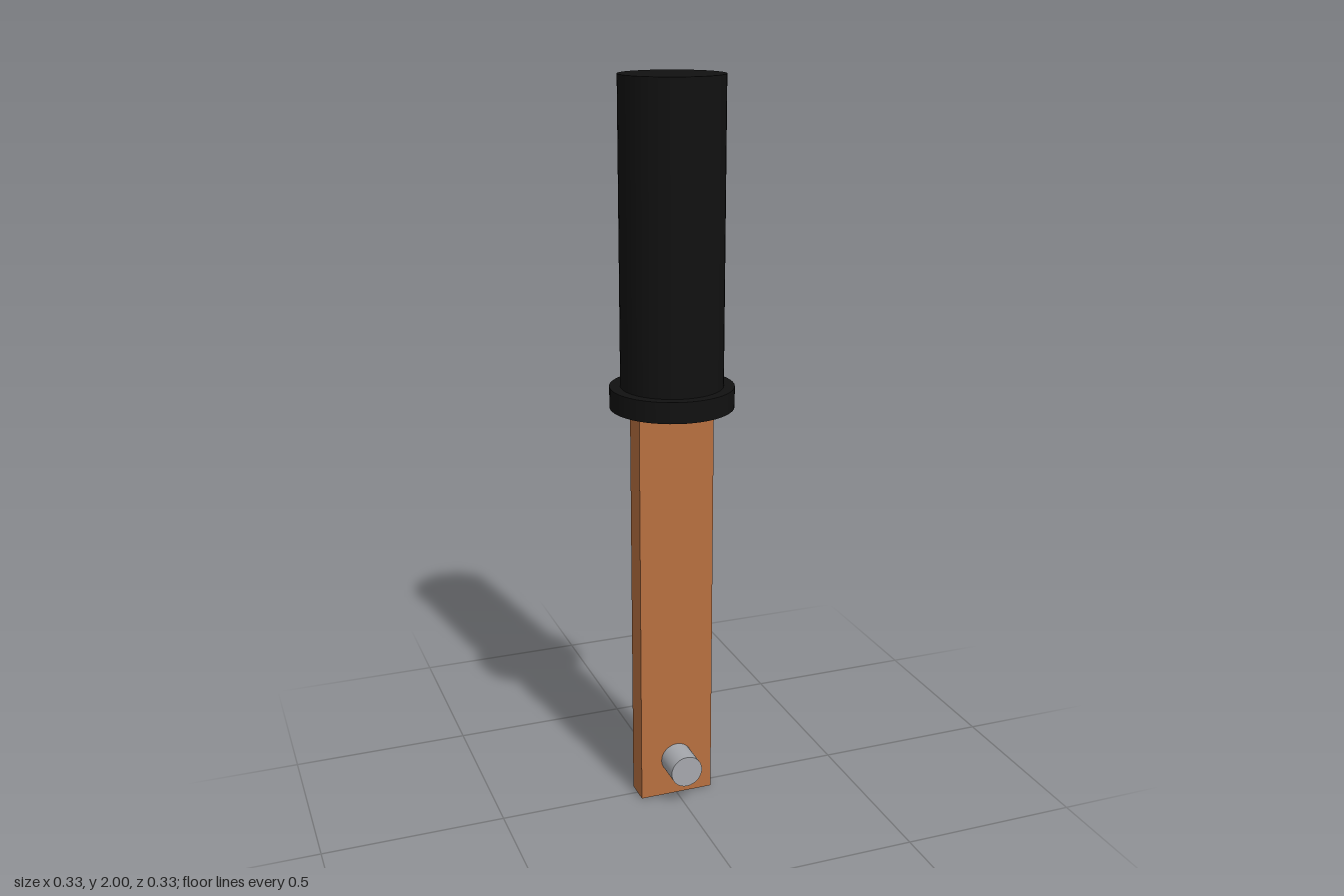
import * as THREE from 'three';

export function createModel() {
  const model = new THREE.Group();
  model.name = 'knifeSwitchLever';

  const material = (name, color) => {
    const m = new THREE.MeshStandardMaterial({ color });
    m.name = name;
    return m;
  };
  const black = material('black plastic', 0x111111);
  const copper = material('copper', 0xb87040);
  const steel = material('steel', 0xa6a8ad);

  const add = (name, geometry, mat, y) => {
    const mesh = new THREE.Mesh(geometry, mat);
    mesh.name = name;
    mesh.position.y = y;
    model.add(mesh);
    return mesh;
  };
  const cylinder = (radius, height) => new THREE.CylinderGeometry(radius, radius, height, 48);

  // Grip and the wider collar at its base
  add('grip', cylinder(0.137, 0.8), black, 1.6);
  add('collar', cylinder(0.166, 0.057), black, 1.1715);

  // Flat blade, running up to the collar
  add('blade', new THREE.BoxGeometry(0.21, 1.143, 0.074), copper, 0.5715);

  // Pivot pin, passing through the blade front to back
  add('pivotPin', cylinder(0.045, 0.24), steel, 0.11).rotation.x = Math.PI / 2;

  return model;
}
